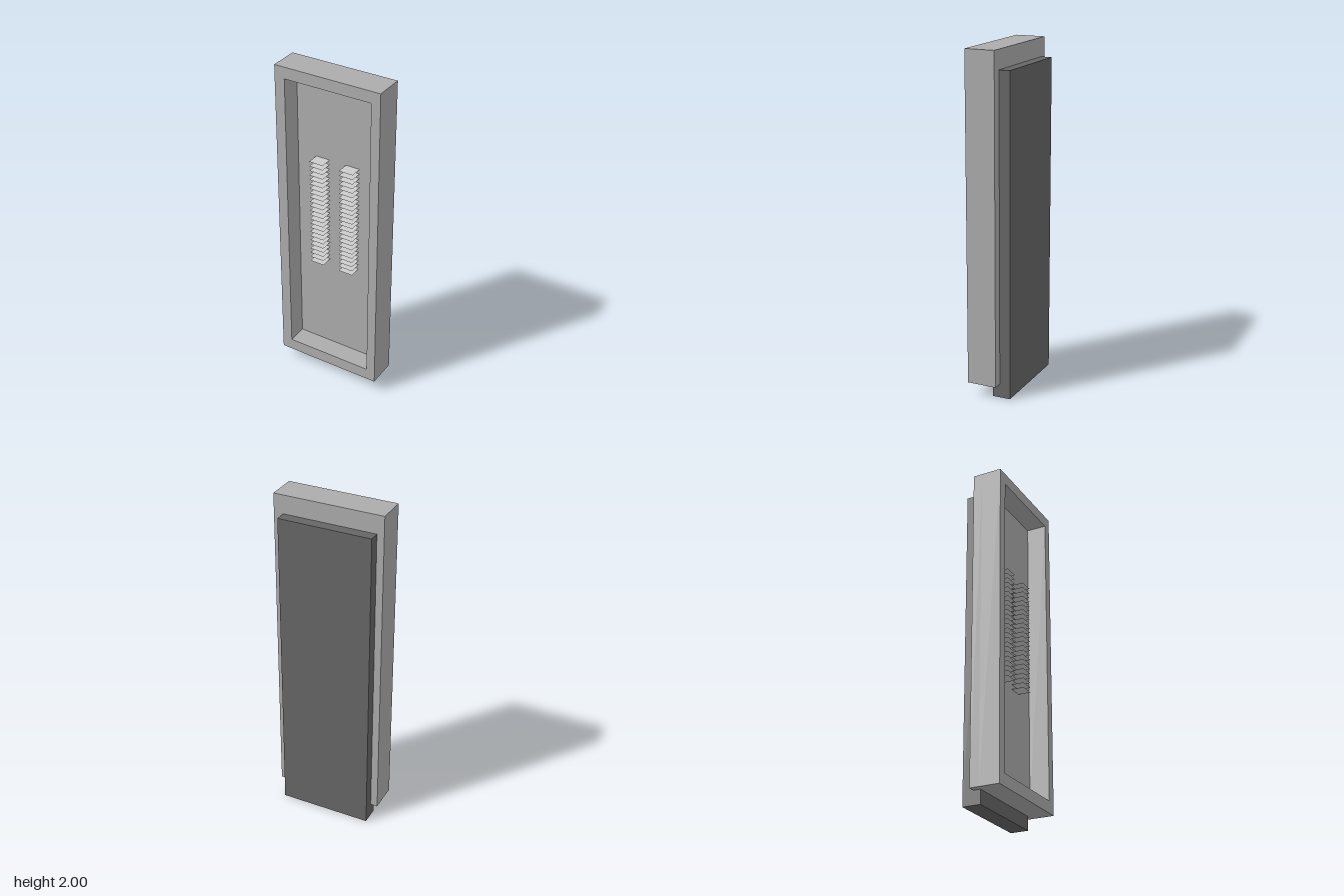
import * as THREE from 'three';

const mat = (color, side = THREE.FrontSide) =>
  new THREE.MeshStandardMaterial({ color, side });

// Box given by its minimum and maximum corners
function box(name, [x0, y0, z0], [x1, y1, z1], material) {
  const mesh = new THREE.Mesh(new THREE.BoxGeometry(x1 - x0, y1 - y0, z1 - z0), material);
  mesh.position.set((x0 + x1) / 2, (y0 + y1) / 2, (z0 + z1) / 2);
  mesh.name = name;
  return mesh;
}

function rectangle(target, x0, y0, x1, y1) {
  target.moveTo(x0, y0);
  target.lineTo(x1, y0);
  target.lineTo(x1, y1);
  target.lineTo(x0, y1);
  target.closePath();
  return target;
}

export function createModel() {
  const group = new THREE.Group();
  const caseMat = mat(0xacacac);
  const backMat = mat(0x666666);
  const slatMat = mat(0xcccccc, THREE.DoubleSide);

  const front = 0.12, floor = 0, rear = -0.056;

  // Casing: a rim around the recess, then the solid panel behind it
  const casing = new THREE.Group();
  casing.name = 'casing';
  const outline = rectangle(new THREE.Shape(), -0.326, 0.082, 0.326, 2);
  outline.holes.push(rectangle(new THREE.Path(), -0.264, 0.154, 0.271, 1.931));
  const rim = new THREE.Mesh(
    new THREE.ExtrudeGeometry(outline, { depth: front - floor, bevelEnabled: false }), caseMat);
  rim.position.z = floor;
  rim.name = 'rim';
  casing.add(rim, box('recessPanel', [-0.326, 0.082, rear], [0.326, 2, floor], caseMat));
  group.add(casing);

  // Dark slab set into the rear, reaching down to the ground
  group.add(box('backSlab', [-0.284, 0, -0.12], [0.27, 1.89, -0.013], backMat));

  // Two columns of thin horizontal vent slats standing out of the recess
  const slats = new THREE.Group();
  slats.name = 'ventSlats';
  const count = 24, top = 1.437, bottom = 0.768;
  const slatGeometry = new THREE.PlaneGeometry(0.088, 0.075).rotateX(-Math.PI / 2);
  for (const x of [-0.1, 0.093]) {
    for (let i = 0; i < count; i++) {
      const slat = new THREE.Mesh(slatGeometry, slatMat);
      slat.position.set(x, bottom + (top - bottom) * i / (count - 1), 0.0375);
      slat.name = 'slat';
      slats.add(slat);
    }
  }
  group.add(slats);

  return group;
}
